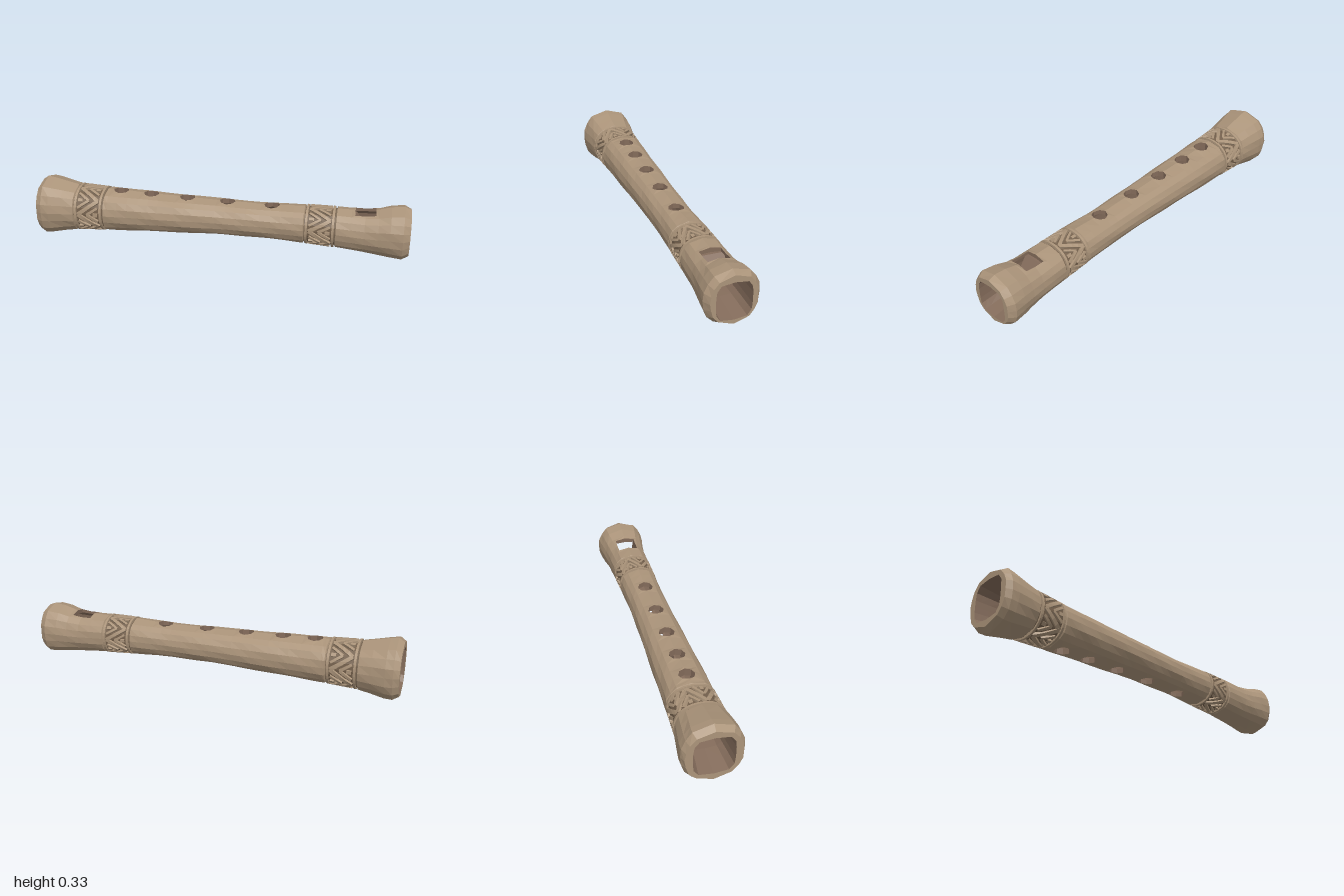
import * as THREE from 'three';

const bone = new THREE.MeshStandardMaterial({ color: 0xab947a });
bone.name = 'bone';
const boneInside = new THREE.MeshStandardMaterial({ color: 0x846c5b });
boneInside.name = 'inner bone';
const groove = new THREE.MeshStandardMaterial({ color: 0x75614d });
groove.name = 'carved groove';

// Profiles along the flute: [x, top y, bottom y, half depth]
const OUTER = [
  [-1, 0.312, 0.025, 0.138], [-0.97, 0.335, 0.003, 0.151], [-0.93, 0.328, 0.008, 0.15],
  [-0.86, 0.31, 0.028, 0.141], [-0.79, 0.293, 0.042, 0.132], [-0.63, 0.285, 0.052, 0.125],
  [-0.3, 0.273, 0.068, 0.117], [0, 0.266, 0.08, 0.107], [0.25, 0.261, 0.08, 0.102],
  [0.45, 0.27, 0.07, 0.106], [0.62, 0.27, 0.06, 0.11], [0.8, 0.268, 0.045, 0.115],
  [0.9, 0.298, 0.028, 0.13], [0.965, 0.306, 0.02, 0.137], [1, 0.292, 0.038, 0.115],
];
const BORE = [
  [-1, 0.275, 0.06, 0.1], [-0.85, 0.25, 0.085, 0.085], [-0.6, 0.24, 0.09, 0.08],
  [0, 0.235, 0.105, 0.07], [0.3, 0.235, 0.1, 0.07], [0.62, 0.24, 0.09, 0.08],
  [0.84, 0.25, 0.08, 0.085], [1, 0.255, 0.06, 0.088],
];
const BANDS = [[-0.79, -0.63], [0.46, 0.62]];
// Finger holes pass right through; the sound window opens the top only
const HOLES = [-0.55, -0.38, -0.18, 0.04, 0.28].map((x) => ({ x, pad: 0.055, hx: 0.042, hz: 0.042, round: true }));
HOLES.push({ x: 0.77, pad: 0.07, hx: 0.053, hz: 0.055, round: false });

const quarter = [0, 36, 54, 72, 90, 108, 126, 144];
const ANGLES = [...quarter, ...quarter.map((a) => a + 180)].map(THREE.MathUtils.degToRad);
const N = ANGLES.length;
const RING = [[-1, -1], [-1, 0], [-1, 1], [0, 1], [1, 1], [1, 0], [1, -1], [0, -1]];

function section(table, x) {
  let i = 0;
  while (i < table.length - 2 && x > table[i + 1][0]) i++;
  const a = table[i], b = table[i + 1], t = (x - a[0]) / (b[0] - a[0]);
  const [top, bottom, rz] = [1, 2, 3].map((k) => a[k] + (b[k] - a[k]) * t);
  return { cy: (top + bottom) / 2, ry: (top - bottom) / 2, rz, p: table === BORE ? 4 : 2.2 };
}

// Point on a wall at an angle measured from the top towards +z
function around(table, x, angle, lift = 0, scale = 1) {
  const { cy, ry, rz, p } = section(table, x);
  const s = Math.sin(angle), c = Math.cos(angle);
  const r = scale / ((Math.abs(s) / rz) ** p + (Math.abs(c) / ry) ** p) ** (1 / p) + lift;
  return [x, cy + r * c, r * s];
}

// Point on a wall straight above or below a given z
function above(table, x, z, side) {
  const { cy, ry, rz, p } = section(table, x);
  return [x, cy + side * ry * Math.max(0, 1 - Math.abs(z / rz) ** p) ** (1 / p), z];
}

const quad = (list, a, b, c, d) => list.push(...a, ...b, ...c, ...a, ...c, ...d);

function mesh(name, positions, material) {
  const geometry = new THREE.BufferGeometry();
  geometry.setAttribute('position', new THREE.Float32BufferAttribute(positions, 3));
  geometry.computeVertexNormals();
  const m = new THREE.Mesh(geometry, material);
  m.name = name;
  return m;
}

const inBand = (x) => BANDS.some(([a, b]) => x > a - 0.002 && x < b + 0.002);

function buildTube(group) {
  const body = [], bore = [], bands = [];
  const xs = [-1, -0.97, -0.93, -0.86, 0.15, 0.4, 0.9, 0.965, 1];
  for (const [a, b] of BANDS) xs.push(a - 0.005, a, b, b + 0.005);
  for (const h of HOLES) xs.push(h.x - h.pad, h.x, h.x + h.pad);
  xs.sort((a, b) => a - b);

  // Slightly uneven outer facets, with the bands cut in
  const outer = xs.map((x, i) => ANGLES.map((a, j) => inBand(x)
    ? around(OUTER, x, a, -0.009)
    : around(OUTER, x, a, 0, 1 + 0.012 * Math.sin(i * 5.1 + j * 2.7))));
  const inner = xs.map((x) => ANGLES.map((a) => around(BORE, x, a)));

  for (let i = 0; i < xs.length - 1; i++) {
    const mid = (xs[i] + xs[i + 1]) / 2;
    const hole = HOLES.find((h) => Math.abs(mid - h.x) < h.pad);
    const target = inBand(mid) ? bands : body;
    for (let j = 0; j < N; j++) {
      const k = (j + 1) % N;
      const open = hole && (j === 0 || j === N - 1 || (hole.round && (j === 7 || j === 8)));
      if (open) continue;
      quad(target, outer[i][j], outer[i][k], outer[i + 1][k], outer[i + 1][j]);
      quad(bore, inner[i][j], inner[i + 1][j], inner[i + 1][k], inner[i][k]);
    }
  }

  // Rims at both ends
  const e = xs.length - 1;
  for (let j = 0; j < N; j++) {
    const k = (j + 1) % N;
    quad(body, outer[e][j], outer[e][k], inner[e][k], inner[e][j]);
    quad(body, inner[0][j], inner[0][k], outer[0][k], outer[0][j]);
  }

  // Surrounds and walls of the holes
  for (const h of HOLES) {
    const m = xs.indexOf(h.x);
    for (const side of h.round ? [1, -1] : [1]) {
      const base = side > 0 ? 0 : 8;
      const edge = (table, [a, b]) => {
        const f = h.round ? 1 / Math.hypot(a, b) : 1;
        return above(table, h.x + a * f * h.hx, side * b * f * h.hz, side);
      };
      RING.forEach((p, n) => {
        const q = RING[(n + 1) % 8];
        const grid = (g, [a, b]) => g[m + a][(base + b + N) % N];
        const o1 = edge(OUTER, p), o2 = edge(OUTER, q), i1 = edge(BORE, p), i2 = edge(BORE, q);
        quad(body, grid(outer, p), grid(outer, q), o2, o1);
        quad(bore, grid(inner, q), grid(inner, p), i1, i2);
        quad(bore, o1, o2, i2, i1);
      });
    }
  }
  group.add(mesh('body', body, bone), mesh('bore', bore, boneInside), mesh('bandGrooves', bands, groove));
}

// Raised bar wrapped on the surface from (x0, a0) to (x1, a1)
function bar(list, x0, a0, x1, a1, width, pieces = 4) {
  const R = 0.118;
  const len = Math.hypot(x1 - x0, (a1 - a0) * R);
  const dx = (x1 - x0) / len, ds = ((a1 - a0) * R) / len;
  const cut = (t) => [[-1, -0.014], [-0.85, 0.001], [0.85, 0.001], [1, -0.014]].map(([s, lift]) => {
    const w = (s * width) / 2;
    return around(OUTER, x0 + (x1 - x0) * t - ds * w, a0 + (a1 - a0) * t + (dx * w) / R, lift);
  });
  for (let i = 0; i < pieces; i++) {
    const A = cut(i / pieces), B = cut((i + 1) / pieces);
    for (let k = 0; k < 3; k++) quad(list, A[k], A[k + 1], B[k + 1], B[k]);
  }
}

// Edge rings, a zigzag and nested chevrons on each band
function buildCarving(group) {
  BANDS.forEach(([a, b], n) => {
    const list = [], count = 5, step = (Math.PI * 2) / count;
    bar(list, a + 0.011, 0, a + 0.011, Math.PI * 2, 0.014, 40);
    bar(list, b - 0.011, 0, b - 0.011, Math.PI * 2, 0.014, 40);
    const lo = a + 0.025, hi = b - 0.025;
    for (let i = 0; i < count; i++) {
      const t = i * step + 0.3, half = step / 2;
      bar(list, lo, t, hi, t + half, 0.022);
      bar(list, hi, t + half, lo, t + step, 0.022);
      for (const [base, dir, c] of [[lo, 1, t + half], [hi, -1, t]]) {
        const tip = base + dir * 0.06;
        bar(list, base, c - half * 0.52, tip, c, 0.015);
        bar(list, tip, c, base, c + half * 0.52, 0.015);
        bar(list, base, c, base + dir * 0.025, c, 0.02, 1);
      }
    }
    group.add(mesh(n ? 'leftBandCarving' : 'rightBandCarving', list, bone));
  });
}

// Sloped plug under the sound window
function buildPlug(group) {
  const shape = new THREE.Shape([[0.64, 0.095], [0.74, 0.095], [0.77, 0.165], [0.72, 0.235], [0.64, 0.235]]
    .map(([x, y]) => new THREE.Vector2(x, y)));
  const geometry = new THREE.ExtrudeGeometry(shape, { depth: 0.14, bevelEnabled: false });
  geometry.translate(0, 0, -0.07);
  const plug = new THREE.Mesh(geometry, boneInside);
  plug.name = 'plug';
  group.add(plug);
}

export function createModel() {
  const group = new THREE.Group();
  group.name = 'boneFlute';
  buildTube(group);
  buildCarving(group);
  buildPlug(group);
  return group;
}
